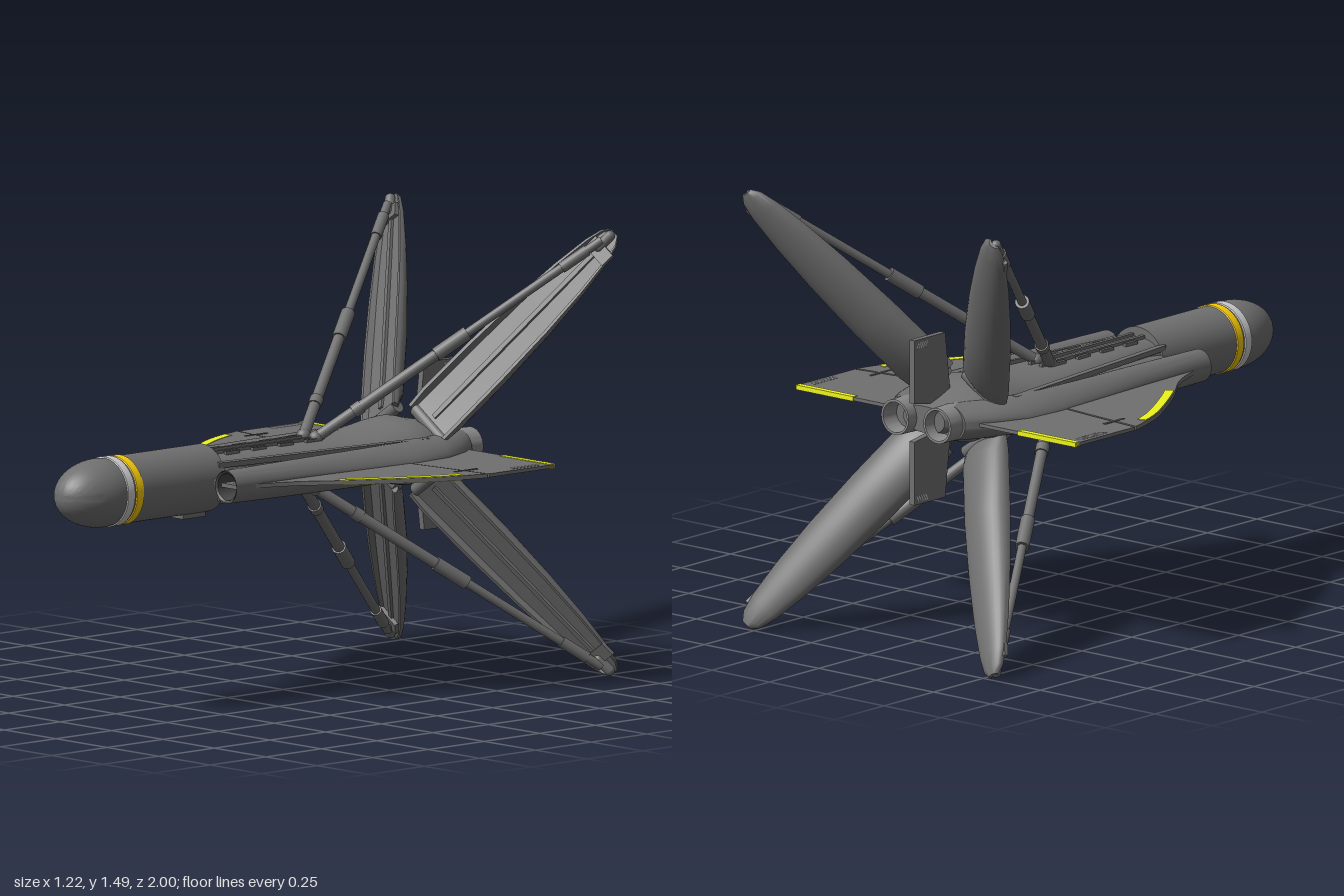
import * as THREE from 'three';
import { toCreasedNormals } from 'three/addons/utils/BufferGeometryUtils.js';

const AXIS = 0.75; // height of the fuselage axis
const paint = (color) => new THREE.MeshStandardMaterial({ color, side: THREE.DoubleSide });
const hullGrey = paint(0x707070), metal = paint(0x8a8a8a), dark = paint(0x484848);
const white = paint(0xd4d4d4), amber = paint(0xf8cc08), lime = paint(0xeef41c);
const V = (x, y, z) => new THREE.Vector3(x, y, z);

function add(parent, name, geo, mat = hullGrey) {
  const m = new THREE.Mesh(geo, mat);
  m.name = name;
  parent.add(m);
  return m;
}

// Skin through rings of points, counter-clockwise seen from +z, with z falling ring by ring
function loft(rings, capFront = true) {
  const n = rings[0].length, last = (rings.length - 1) * n, idx = [];
  for (let i = 0; i < rings.length - 1; i++) for (let j = 0; j < n; j++) {
    const a = i * n + j, b = i * n + (j + 1) % n;
    idx.push(a, a + n, b, b, a + n, b + n);
  }
  for (let j = 1; j < n - 1; j++) {
    if (capFront) idx.push(0, j, j + 1);
    idx.push(last, last + j + 1, last + j);
  }
  const g = new THREE.BufferGeometry();
  g.setAttribute('position', new THREE.Float32BufferAttribute(rings.flat().flatMap((p) => p.toArray()), 3));
  g.setIndex(idx);
  return toCreasedNormals(g, 0.6);
}

// Superellipse ring: z, centre x, half width, half height, power
function oval([z, cx, rx, ry, n]) {
  const f = (c) => Math.sign(c) * Math.abs(c) ** (2 / n);
  return Array.from({ length: 40 }, (_, k) => {
    const t = (k / 40) * Math.PI * 2;
    return V(cx + rx * f(Math.cos(t)), ry * f(Math.sin(t)), z);
  });
}

// Turned part along z from [radius, z] pairs
function turned(pts, seg = 48) {
  const g = new THREE.LatheGeometry(pts.map(([r, z]) => new THREE.Vector2(r, z)), seg);
  return toCreasedNormals(g.rotateX(Math.PI / 2), 0.6);
}

// Round rod or square beam between two points
function rod(parent, name, a, b, r, sides = 20) {
  const g = new THREE.CylinderGeometry(r, r, a.distanceTo(b), sides);
  if (sides === 4) g.rotateY(Math.PI / 4);
  const m = add(parent, name, sides === 4 ? toCreasedNormals(g, 0.5) : g);
  m.position.copy(a).lerp(b, 0.5);
  m.quaternion.setFromUnitVectors(V(0, 1, 0), b.clone().sub(a).normalize());
}

// Flat plate from [x, z] outline, centred on the wing plane
function plate(pts, thick) {
  const s = new THREE.Shape(pts.map(([x, z]) => new THREE.Vector2(x, z)));
  const g = new THREE.ExtrudeGeometry(s, { depth: thick, bevelEnabled: false });
  return g.rotateX(Math.PI / 2).translate(0, thick / 2, 0);
}

// One side of the craft: nacelle, engine, wing
function buildSide() {
  const side = new THREE.Group();
  add(side, 'nacelle', loft([
    [0.44, 0.2, 0.052, 0.055, 2], [0.3, 0.2, 0.054, 0.057, 2], [0.1, 0.2, 0.06, 0.06, 1.8],
    [-0.1, 0.2, 0.07, 0.062, 1.6], [-0.35, 0.195, 0.087, 0.064, 1.5], [-0.5, 0.175, 0.095, 0.064, 1.7],
    [-0.62, 0.125, 0.095, 0.062, 2], [-0.7, 0.095, 0.068, 0.06, 2],
  ].map(oval), false));
  add(side, 'intake', turned([[0.052, 0.44], [0.045, 0.435], [0.038, 0.35], [0, 0.35]]), dark).position.x = 0.2;
  add(side, 'intakeCone', turned([[0, 0.42], [0.008, 0.41], [0.02, 0.35]], 24)).position.x = 0.2;
  const nozzle = [[0.058, -0.64], [0.062, -0.68], [0.06, -0.76], [0.052, -0.76], [0.042, -0.68], [0, -0.68]];
  add(side, 'nozzle', turned(nozzle), metal).position.x = 0.092;

  // Wing panel with a curved leading edge
  const edge = new THREE.SplineCurve([[0.24, 0.42], [0.26, 0.33], [0.31, 0.21], [0.42, 0.05], [0.55, -0.18], [0.61, -0.355]]
    .map(([x, z]) => new THREE.Vector2(x, z)));
  const lead = edge.getPoints(40).map((p) => [p.x, p.y]);
  add(side, 'wing', plate([...lead, [0.4, -0.332], [0.27, -0.315], [0.15, -0.315], [0.15, 0.42]], 0.014));
  add(side, 'flap', plate([[0.15, -0.322], [0.27, -0.322], [0.4, -0.339], [0.61, -0.363], [0.61, -0.66], [0.15, -0.66]], 0.012));
  add(side, 'trailingStripe', plate([[0.36, -0.638], [0.61, -0.638], [0.61, -0.661], [0.36, -0.661]], 0.016), lime);
  const inset = (d) => Array.from({ length: 25 }, (_, k) => {
    const t = 0.41 + 0.49 * (k / 24), p = edge.getPointAt(t), q = edge.getTangentAt(t);
    return [p.x + q.y * d, p.y - q.x * d];
  });
  add(side, 'leadingStripe', plate([...inset(0.004), ...inset(0.034).reverse()], 0.018), lime);
  for (let k = 0; k < 8; k++) {
    const z = -0.485 - k * 0.0155;
    add(side, 'hatchMark', plate([[0.57, z - 0.012], [0.595, z], [0.595, z - 0.007], [0.57, z - 0.019]], 0.016), white);
  }
  rod(side, 'flapActuator', V(0.51, 0.004, -0.3), V(0.51, 0.004, -0.4), 0.007, 4);
  return side;
}

// One landing leg with its bay, hinge and folding strut
function buildLeg() {
  const leg = new THREE.Group();
  const root = V(0.13, 0.12, -0.555), tip = V(0.54, 0.735, -0.99);
  const a = tip.clone().sub(root), len = a.length();
  a.normalize();
  const w = V(a.y, -a.x, 0).normalize(), n = w.clone().cross(a);
  const petal = new THREE.Group();
  petal.name = 'legPetal';
  petal.position.copy(root);
  petal.quaternion.setFromRotationMatrix(new THREE.Matrix4().makeBasis(w, n, a.clone().negate()));
  leg.add(petal);

  // Shell: convex outside, shallow channel inside; columns are t, half width, depth
  const rings = [[-0.04, 0.098, 0.035], [0.04, 0.102, 0.06], [0.3, 0.1, 0.064], [0.55, 0.092, 0.054],
    [0.75, 0.078, 0.042], [0.9, 0.06, 0.03], [0.97, 0.043, 0.022], [1, 0.02, 0.014]].map(([t, W, D]) => {
    const pts = [], arc = (s) => V(W * Math.sin(s), -D * Math.cos(s), -t * len);
    for (let k = 0; k <= 8; k++) pts.push(arc((k / 8) * Math.PI / 2));
    for (const [x, y] of [[0.98, 0.2], [0.86, 0.2], [0.78, -0.15], [-0.78, -0.15], [-0.86, 0.2], [-0.98, 0.2]])
      pts.push(V(x * W, y * D, -t * len));
    for (let k = -8; k < 0; k++) pts.push(arc((k / 8) * Math.PI / 2));
    return pts;
  });
  add(petal, 'petalShell', loft(rings));
  rod(petal, 'petalRail', V(0, -0.008, 0), V(0, -0.004, -len * 0.9), 0.012, 4);
  add(petal, 'footPad', new THREE.CapsuleGeometry(0.018, 0.05, 6, 16).rotateX(Math.PI / 2).translate(0, 0.008, -len * 0.95));
  add(petal, 'footFlange', new THREE.BoxGeometry(0.1, 0.014, 0.05).translate(0.012, 0.004, -len * 0.91));
  rod(petal, 'hinge', V(-0.08, -0.02, 0.03), V(0.08, -0.02, 0.03), 0.022);

  // Telescopic strut
  const s0 = V(0.03, 0.085, -0.12), s1 = V(0.52, 0.712, -0.95);
  const at = (t) => s0.clone().lerp(s1, t);
  for (const [name, t0, t1, r] of [['strutSleeve', 0, 0.5, 0.019], ['strutCollar', 0.42, 0.53, 0.024],
    ['strutRod', 0.5, 1, 0.015], ['strutCollar', 0.86, 0.95, 0.019], ['strutCollar', 0.13, 0.16, 0.023]])
    rod(leg, name, at(t0), at(t1), r);
  add(leg, 'strutPivot', new THREE.SphereGeometry(0.024, 20, 12)).position.copy(s0);

  // Bay edges the petal folds into
  rod(leg, 'bayEdge', V(0.095, 0.055, 0.38), V(0.185, 0.055, -0.48), 0.013, 4);
  rod(leg, 'strutTrack', V(0.024, 0.082, 0.36), V(0.024, 0.082, -0.16), 0.01, 4);
  for (let k = 0; k < 4; k++)
    rod(leg, 'bayLatch', V(0.045, 0.08, 0.3 - k * 0.12), V(0.045, 0.08, 0.24 - k * 0.12), 0.009, 4);
  return leg;
}

export function createModel() {
  const model = new THREE.Group();
  model.name = 'spacecraft';
  const craft = new THREE.Group();
  craft.name = 'craft';
  craft.position.y = AXIS;
  model.add(craft);

  // Round nose and forward barrel
  const dome = Array.from({ length: 17 }, (_, k) => {
    const t = (k / 16) * Math.PI / 2;
    return [0.115 * Math.cos(t), 0.82 + 0.18 * Math.sin(t)];
  });
  add(craft, 'noseBarrel', turned([[0, 0.36], [0.113, 0.36], [0.113, 0.8], ...dome], 64));
  add(craft, 'lightBand', turned([[0.113, 0.768], [0.117, 0.77], [0.117, 0.8], [0.113, 0.802]], 64), white);
  add(craft, 'yellowBand', turned([[0.113, 0.728], [0.1165, 0.73], [0.1165, 0.76], [0.113, 0.762]], 64), amber);

  // Central hull and the shoulders that join it to the nacelles
  add(craft, 'hull', loft([
    [0.4, 0, 0.1, 0.08, 2.4], [0.1, 0, 0.13, 0.08, 2.5], [-0.15, 0, 0.155, 0.078, 2.6], [-0.32, 0, 0.175, 0.08, 2.5],
    [-0.44, 0, 0.19, 0.105, 2.2], [-0.5, 0, 0.19, 0.115, 2.1], [-0.57, 0, 0.18, 0.1, 2.1],
    [-0.65, 0, 0.145, 0.068, 2.2], [-0.72, 0, 0.09, 0.045, 2.3],
  ].map(oval)));
  add(craft, 'shoulders', loft([
    [0.42, 0, 0.11, 0.035, 2.5], [0.3, 0, 0.17, 0.045, 2.5], [-0.4, 0, 0.2, 0.055, 2.5], [-0.68, 0, 0.1, 0.05, 2.5],
  ].map(oval)));
  add(craft, 'bellySensor', new THREE.BoxGeometry(0.07, 0.03, 0.1).translate(0, -0.108, 0.43));

  // Upper and lower tail fins
  const fin = new THREE.Shape([[-0.6, 0.08], [-0.625, 0.28], [-0.78, 0.28], [-0.78, 0.065], [-0.69, 0.05]]
    .map(([z, y]) => new THREE.Vector2(-z, y)));
  for (const s of [1, -1]) {
    const g = new THREE.ExtrudeGeometry(fin, { depth: 0.022, bevelEnabled: false }).translate(0, 0, -0.011);
    const group = new THREE.Group();
    group.name = s > 0 ? 'upperFin' : 'lowerFin';
    group.scale.y = s;
    craft.add(group);
    add(group, 'finPlate', g.rotateY(Math.PI / 2));
    for (let k = 0; k < 5; k++)
      add(group, 'finMark', new THREE.BoxGeometry(0.0235, 0.022, 0.005).rotateX(0.5).translate(0, 0.26, -0.72 - k * 0.011), white);
  }

  // Mirrored sides and four legs
  for (const sx of [1, -1]) {
    const side = buildSide();
    side.name = sx > 0 ? 'leftSide' : 'rightSide';
    side.scale.x = sx;
    craft.add(side);
    for (const sy of [1, -1]) {
      const leg = buildLeg();
      leg.name = (sy > 0 ? 'upper' : 'lower') + (sx > 0 ? 'LeftLeg' : 'RightLeg');
      leg.scale.set(sx, sy, 1);
      craft.add(leg);
    }
  }
  return model;
}
